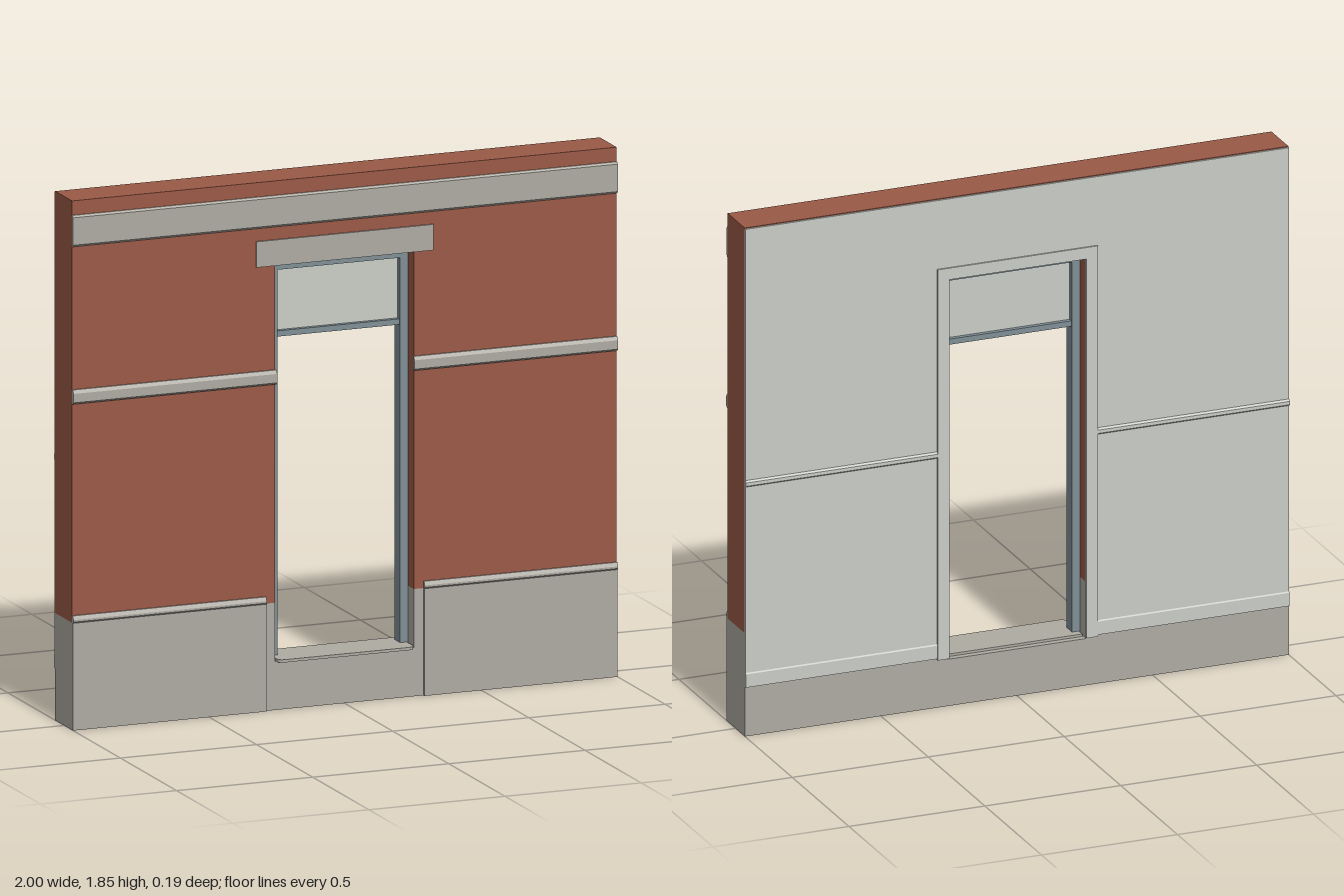
import * as THREE from 'three';

const mat = (name, color) => {
  const m = new THREE.MeshStandardMaterial({ color });
  m.name = name;
  return m;
};

export function createModel() {
  const brick = mat('red brick', 0x9a5946);
  const stone = mat('warm stone', 0xaeaba2);
  const plaster = mat('pale plaster', 0xcacdc6);
  const metal = mat('blue grey frame', 0x7f8f96);

  const group = new THREE.Group();
  group.name = 'wallWithDoorway';

  const add = (name, geometry, material) => {
    const mesh = new THREE.Mesh(geometry, material);
    mesh.name = name;
    group.add(mesh);
    return mesh;
  };

  // Box given by its limits on each axis
  const box = (name, material, x0, x1, y0, y1, z0, z1) => {
    const g = new THREE.BoxGeometry(x1 - x0, y1 - y0, z1 - z0);
    g.translate((x0 + x1) / 2, (y0 + y1) / 2, (z0 + z1) / 2);
    return add(name, g, material);
  };

  // Outline in x,y pushed through from z0 to z1
  const slab = (name, material, points, z0, z1) => {
    const shape = new THREE.Shape(points.map(([x, y]) => new THREE.Vector2(x, y)));
    const g = new THREE.ExtrudeGeometry(shape, { depth: z1 - z0, bevelEnabled: false });
    g.translate(0, 0, z0);
    return add(name, g, material);
  };

  // Moulding with a z,y profile running along x
  const moulding = (name, material, profile, x0, x1) => {
    const shape = new THREE.Shape(profile.map(([z, y]) => new THREE.Vector2(z, y)));
    const g = new THREE.ExtrudeGeometry(shape, { depth: x1 - x0, bevelEnabled: false });
    g.rotateY(-Math.PI / 2);
    g.translate(x1, 0, 0);
    return add(name, g, material);
  };

  const W = 0.255, SILL = 0.17, HEAD = 1.555, PLINTH = 0.375, TOP = 1.85;
  const FRONT = 0.07, BACK = -0.08;

  // Outline of a wall layer that goes round the doorway
  const arch = (half, bottom, top, head, inner = W) => [
    [-half, bottom], [-inner, bottom], [-inner, head], [inner, head],
    [inner, bottom], [half, bottom], [half, top], [-half, top],
  ];

  // Main wall and its stone foot
  slab('brickWall', brick, arch(1, PLINTH, TOP, HEAD), BACK, FRONT);
  slab('stoneFoot', stone, [
    [-1, 0], [1, 0], [1, PLINTH], [W, PLINTH], [W, SILL],
    [-W, SILL], [-W, PLINTH], [-1, PLINTH],
  ], BACK - 0.003, FRONT);

  // Inner face: plaster sheet and door surround
  slab('plasterFace', plaster, arch(1, 0.18, TOP - 0.003, HEAD), -0.087, BACK);
  slab('doorSurround', plaster, arch(0.295, 0.175, 1.597, HEAD, 0.252), -0.093, BACK);

  // Cornice across the whole front
  moulding('cornice', stone, [
    [FRONT, 1.69], [0.074, 1.69], [0.08, 1.697], [0.08, 1.793], [0.074, 1.8], [FRONT, 1.8],
  ], -1, 1);
  box('lintel', stone, -0.325, 0.325, HEAD, 1.645, FRONT, 0.077);

  for (const s of [-1, 1]) {
    const span = (a, b) => (s > 0 ? [a, b] : [-b, -a]);

    // Front plinth panel with sloped ledge
    box('plinthPanel', stone, ...span(0.29, 1), 0, PLINTH, FRONT - 0.002, 0.079);
    moulding('plinthLedge', stone, [
      [FRONT, PLINTH], [0.079, PLINTH], [0.083, 0.38], [0.083, 0.387], [0.076, 0.4], [FRONT, 0.4],
    ], ...span(0.29, 1));

    // Front band halfway up
    moulding('frontBand', stone, [
      [FRONT, 1.14], [0.076, 1.14], [0.084, 1.147], [0.084, 1.178], [0.076, 1.19], [FRONT, 1.19],
    ], ...span(0.252, 1));

    // Inner rail and skirting
    moulding('innerRail', plaster, [
      [-0.086, 0.908], [-0.093, 0.914], [-0.093, 0.926], [-0.086, 0.934],
    ], ...span(0.295, 1));
    moulding('skirting', plaster, [
      [-0.086, 0.18], [-0.09, 0.18], [-0.09, 0.228], [-0.086, 0.234],
    ], ...span(0.295, 1));

    // Door jamb
    box('frameJamb', metal, ...span(0.225, W), SILL, HEAD, -0.03, 0.02);
  }

  // Door frame head, transom bar and pane
  box('frameHead', metal, -0.225, 0.225, 1.525, HEAD, -0.03, 0.02);
  box('transomBar', metal, -0.225, 0.225, 1.29, 1.31, -0.025, 0.015);
  box('transomPane', plaster, -0.225, 0.225, 1.31, 1.525, -0.009, -0.001);

  // Thin doorstep with rounded front corners
  const step = new THREE.Shape();
  step.moveTo(-0.25, -0.06);
  step.lineTo(0.25, -0.06);
  step.lineTo(0.25, 0.07);
  step.quadraticCurveTo(0.25, 0.094, 0.226, 0.094);
  step.lineTo(-0.226, 0.094);
  step.quadraticCurveTo(-0.25, 0.094, -0.25, 0.07);
  const stepGeo = new THREE.ExtrudeGeometry(step, { depth: 0.01, bevelEnabled: false, curveSegments: 6 });
  stepGeo.rotateX(Math.PI / 2);
  stepGeo.translate(0, 0.179, 0);
  add('doorstep', stepGeo, stone);

  return group;
}
